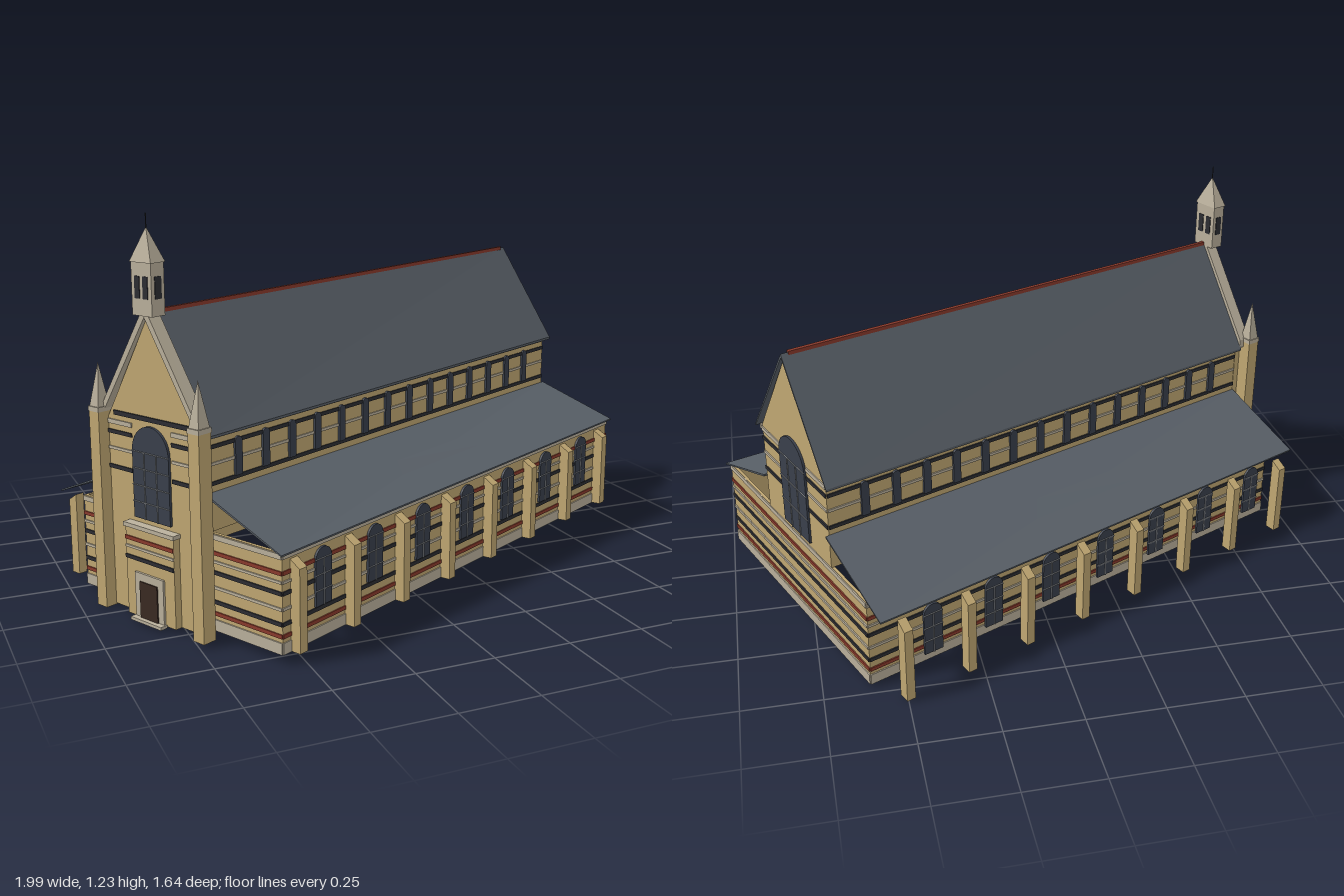
import * as THREE from 'three';

const TAN = 0xc0a772, CREAM = 0xbab09c, RED = 0x8a3a2c, BLACK = 0x2c2d32;
const SLATE = 0x585f67, GLASS = 0x3a404c, LEAD = 0x8d9196, DOOR = 0x3a2a22;

export function createModel() {
  const model = new THREE.Group();
  model.name = 'church';
  model.rotation.y = 0.433;
  const mats = {};
  const mat = c => (mats[c] ??= new THREE.MeshStandardMaterial({ color: c, flatShading: true, side: THREE.DoubleSide }));

  // The building follows sloping ground: one long side climbs towards the east.
  function add(name, color, geo) {
    const p = geo.attributes.position;
    for (let i = 0; i < p.count; i++) {
      const s = (p.getX(i) / 0.864 + 1) / 2, t = (p.getZ(i) / 0.503 + 1) / 2;
      p.setY(i, p.getY(i) + t * (0.025 + 0.05 * s));
    }
    geo.computeVertexNormals();
    const m = new THREE.Mesh(geo, mat(color));
    m.name = name;
    model.add(m);
  }
  function box(name, color, x0, x1, y0, y1, z0, z1) {
    const g = new THREE.BoxGeometry(Math.abs(x1 - x0), y1 - y0, Math.abs(z1 - z0));
    add(name, color, g.translate((x0 + x1) / 2, (y0 + y1) / 2, (z0 + z1) / 2));
  }
  // Prism from a (z, y) outline, running along x
  function prism(name, color, pts, x0, x1) {
    const shape = new THREE.Shape(pts.map(([z, y]) => new THREE.Vector2(-z, y)));
    const g = new THREE.ExtrudeGeometry(shape, { depth: x1 - x0, bevelEnabled: false });
    add(name, color, g.rotateY(Math.PI / 2).translate(x0, 0, 0));
  }
  // Round-headed window with glazing bars; turn gives the facing direction
  function archWindow(name, x, z, y0, y1, w, turn, lights, rows) {
    const r = w / 2, spring = y1 - r;
    const place = g => g.rotateY(turn).translate(x, 0, z);
    const s = new THREE.Shape();
    s.moveTo(-r, y0);
    s.lineTo(r, y0);
    s.lineTo(r, spring);
    s.absarc(0, spring, r, 0, Math.PI, false);
    s.closePath();
    add(name, GLASS, place(new THREE.ExtrudeGeometry(s, { depth: 0.008, bevelEnabled: false, curveSegments: 8 })));
    for (let i = 1; i < lights; i++)
      add(name + 'Mullion', LEAD, place(new THREE.BoxGeometry(0.003, spring - y0, 0.004)
        .translate(-r + w * i / lights, (y0 + spring) / 2, 0.009)));
    for (let i = 1; i <= rows; i++)
      add(name + 'Bar', LEAD, place(new THREE.BoxGeometry(w, 0.003, 0.004)
        .translate(0, y0 + (spring - y0) * i / rows, 0.009)));
  }
  const low = [[CREAM, 0.01, 0.045], [RED, 0.058, 0.07], [BLACK, 0.094, 0.106], [CREAM, 0.14, 0.149],
    [BLACK, 0.185, 0.197], [CREAM, 0.22, 0.228], [RED, 0.245, 0.257], [CREAM, 0.292, 0.308]];
  const high = [[BLACK, 0.448, 0.46], [CREAM, 0.508, 0.517], [BLACK, 0.558, 0.57], [CREAM, 0.588, 0.602]];
  const bandsAlong = (list, x0, x1, z, out) => list.forEach(([c, a, b]) =>
    box('brickBand', c, x0, x1, a, b, z, z + 0.004 * out));
  const bandsAcross = (list, z0, z1, x, out) => list.forEach(([c, a, b]) =>
    box('brickBand', c, x, x + 0.004 * out, a, b, z0, z1));

  // Aisle walls
  box('southAisleWall', TAN, -0.85, 0.85, 0.01, 0.31, 0.48, 0.49);
  box('northAisleWall', TAN, -0.85, 0.85, 0.01, 0.31, -0.4, -0.39);
  box('eastWall', TAN, 0.84, 0.85, 0.01, 0.31, -0.4, 0.49);
  box('southWestWall', TAN, -0.85, -0.84, 0.01, 0.31, 0.2, 0.49);
  box('northWestWall', TAN, -0.85, -0.84, 0.01, 0.31, -0.4, -0.2);
  bandsAlong(low, -0.85, 0.85, 0.49, 1);
  bandsAlong(low, -0.85, 0.85, -0.4, -1);
  bandsAcross(low, -0.4, 0.49, 0.85, 1);
  bandsAcross(low, 0.2, 0.49, -0.85, -1);
  bandsAcross(low, -0.4, -0.2, -0.85, -1);

  for (const side of [1, -1]) {
    const turn = side > 0 ? 0 : Math.PI;
    // Buttresses with sloped caps, and the aisle windows between them
    for (let i = 0; i < 8; i++) {
      const x = -0.803 + i * 0.2268;
      prism('buttress', TAN, [[side * 0.49, 0.01], [side * 0.527, 0.01], [side * 0.527, 0.262], [side * 0.49, 0.285]],
        x - 0.015, x + 0.015);
      if (i < 7) archWindow('aisleWindow', x + 0.1134, side > 0 ? 0.491 : -0.477, 0.11, 0.285, 0.066, turn, 2, 3);
    }
    // Aisle roof
    prism('aisleRoof', SLATE, [[side * 0.503, 0.306], [side * 0.503, 0.311], [side * 0.2, 0.428], [side * 0.2, 0.421]],
      -0.864, 0.864);
    // Upper nave wall with its row of small windows
    box('clerestoryWall', TAN, -0.86, 0.85, 0.31, 0.605, side * 0.19, side * 0.2);
    bandsAlong(high, -0.86, 0.85, side * 0.2, side);
    box('eaveCornice', CREAM, -0.86, 0.855, 0.592, 0.606, side * 0.2, side * 0.212);
    for (let i = 0; i < 14; i++)
      archWindow('clerestoryWindow', -0.738 + i * 0.1124, side * 0.2, 0.458, 0.575, 0.028, turn, 1, 0);
    // Nave roof
    prism('naveRoof', SLATE, [[side * 0.225, 0.596], [side * 0.225, 0.604], [0, 0.944], [0, 0.932]], -0.865, 0.864);
    // Stone coping over the west gable
    prism('gableCoping', CREAM, [[side * 0.22, 0.605], [side * 0.22, 0.635], [0, 0.965], [0, 0.93]], -0.905, -0.862);
    // Pinnacled corner shafts
    box('cornerShaft', TAN, -0.928, -0.882, 0, 0.635, side * 0.225 - 0.023, side * 0.225 + 0.023);
    box('shaftCollar', CREAM, -0.93, -0.88, 0.625, 0.64, side * 0.225 - 0.025, side * 0.225 + 0.025);
    add('pinnacle', CREAM, new THREE.ConeGeometry(0.03, 0.135, 4).rotateY(Math.PI / 4)
      .translate(-0.905, 0.7075, side * 0.225));
  }
  box('ridgeTiles', RED, -0.86, 0.84, 0.937, 0.949, -0.006, 0.006);

  // East gable and its large window
  const gable = y => [[-0.2, y], [0.2, y], [0.2, 0.61], [0, 0.932], [-0.2, 0.61]];
  prism('eastGable', TAN, gable(0.31), 0.842, 0.852);
  for (const s of [1, -1]) bandsAcross(high, s * 0.083, s * 0.2, 0.852, 1);
  archWindow('eastWindow', 0.852, 0, 0.33, 0.66, 0.16, Math.PI / 2, 3, 3);

  // West front: gable wall, window, door
  prism('westGable', TAN, gable(0.005), -0.892, -0.862);
  for (const s of [1, -1]) bandsAcross(high, s * 0.09, s * 0.2, -0.892, -1);
  box('gableBand', BLACK, -0.897, -0.892, 0.618, 0.632, -0.17, 0.17);
  archWindow('westWindow', -0.893, 0, 0.315, 0.605, 0.165, -Math.PI / 2, 3, 4);
  box('porch', TAN, -0.915, -0.89, 0.005, 0.285, -0.11, 0.11);
  box('porchCap', CREAM, -0.92, -0.89, 0.285, 0.298, -0.115, 0.115);
  bandsAcross(low.slice(4, 7), -0.11, 0.11, -0.915, -1);
  box('doorSurround', CREAM, -0.922, -0.915, 0, 0.15, -0.065, 0.065);
  box('door', DOOR, -0.926, -0.92, 0.005, 0.125, -0.04, 0.04);
  box('doorStep', CREAM, -0.94, -0.915, 0, 0.01, -0.07, 0.07);

  // Bell turret: four-sided body, openings, spirelet and finial
  const tx = -0.886;
  box('turretBody', CREAM, tx - 0.024, tx + 0.024, 0.935, 1.09, -0.044, 0.044);
  for (const s of [1, -1]) {
    for (const z of [-0.018, 0.018])
      box('bellOpening', BLACK, tx + s * 0.023, tx + s * 0.026, 0.985, 1.05, z - 0.011, z + 0.011);
    box('bellSideOpening', BLACK, tx - 0.012, tx + 0.012, 0.985, 1.05, s * 0.043, s * 0.046);
  }
  add('turretSpire', CREAM, new THREE.ConeGeometry(Math.SQRT1_2, 0.1, 4).rotateY(Math.PI / 4)
    .scale(0.054, 1, 0.096).translate(tx, 1.139, 0));
  add('finial', BLACK, new THREE.CylinderGeometry(0.0015, 0.002, 0.05, 6).translate(tx, 1.203, 0));
  return model;
}
